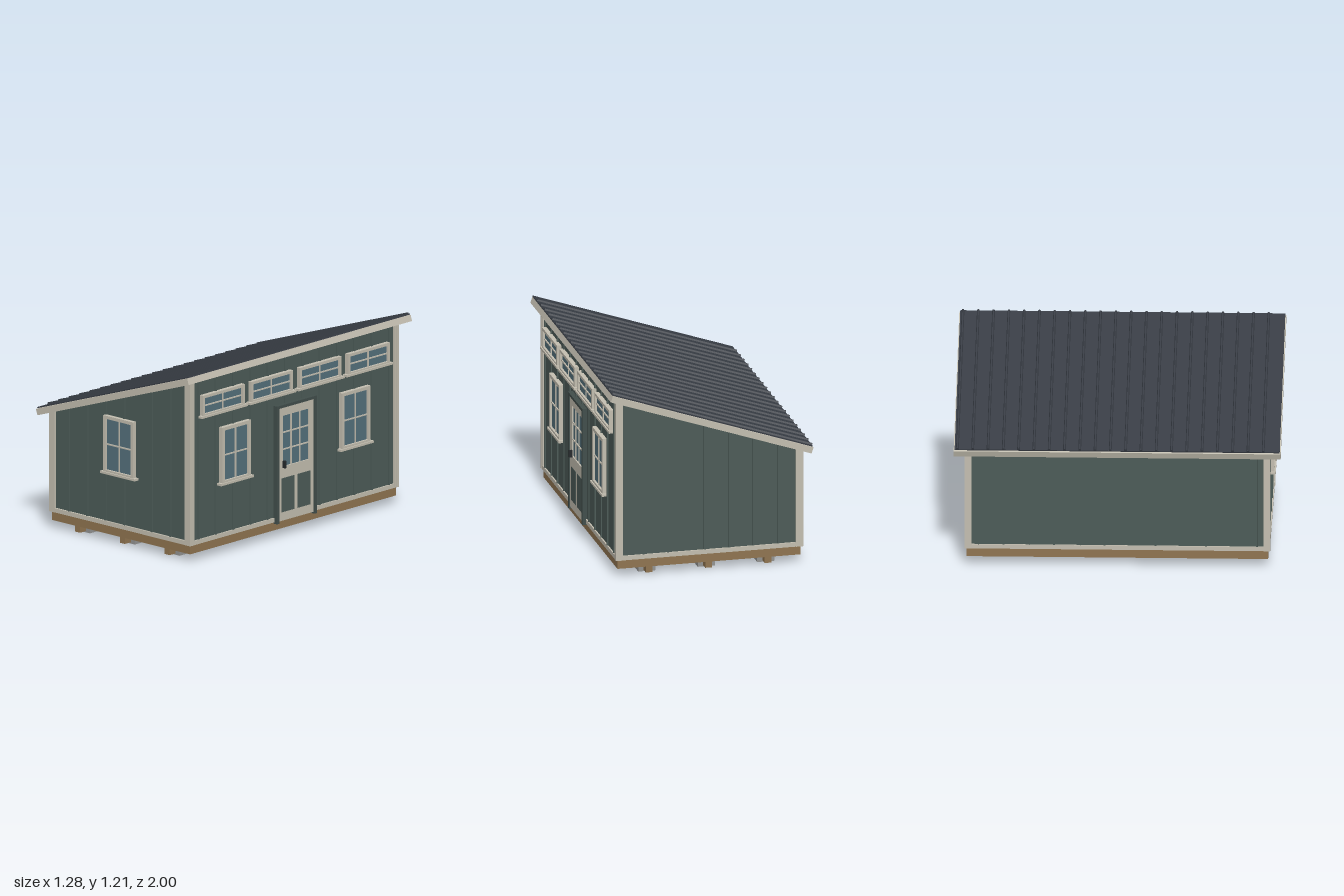
import * as THREE from 'three';

const paint = (name, color) => {
  const m = new THREE.MeshStandardMaterial({ color });
  m.name = name;
  return m;
};

export function createModel() {
  const model = new THREE.Group();
  model.name = 'shed';
  const siding = paint('green siding', 0x4c5b57);
  const doorTrim = paint('dark green trim', 0x414e4b);
  const cream = paint('cream trim', 0xc3beb0);
  const metal = paint('charcoal roof', 0x373c44);
  const wood = paint('timber', 0x8f7450);
  const glass = paint('blue glass', 0x54707c);
  const concrete = paint('concrete', 0x929290);
  const black = paint('black hardware', 0x24282b);

  const SLOPE = 0.341, ANGLE = Math.atan(SLOPE);
  const roofY = x => 0.945 + SLOPE * x;

  // Box given by its limits on each axis
  function box(parent, name, mat, x0, x1, y0, y1, z0, z1) {
    const mesh = new THREE.Mesh(new THREE.BoxGeometry(x1 - x0, y1 - y0, z1 - z0), mat);
    mesh.position.set((x0 + x1) / 2, (y0 + y1) / 2, (z0 + z1) / 2);
    mesh.name = name;
    parent.add(mesh);
    return mesh;
  }

  // Upright prism whose top follows the roof slope
  function prism(name, mat, x0, x1, y0, z0, z1) {
    const shape = new THREE.Shape([
      new THREE.Vector2(x0, y0), new THREE.Vector2(x1, y0),
      new THREE.Vector2(x1, roofY(x1)), new THREE.Vector2(x0, roofY(x0)),
    ]);
    const geo = new THREE.ExtrudeGeometry(shape, { depth: z1 - z0, bevelEnabled: false });
    const mesh = new THREE.Mesh(geo, mat);
    mesh.position.z = z0;
    mesh.name = name;
    model.add(mesh);
  }

  // Foundation: blocks, skids and floor
  for (const x of [-0.375, 0, 0.375]) {
    for (const z of [-0.795, 0, 0.795])
      box(model, 'foundationBlock', concrete, x - 0.055, x + 0.055, 0, 0.033, z - 0.062, z + 0.062);
    box(model, 'skid', wood, x - 0.021, x + 0.021, 0.008, 0.052, -0.91, 0.91);
  }
  box(model, 'floorFrame', wood, -0.578, 0.578, 0.05, 0.106, -0.922, 0.922);

  // Walls and base trim
  prism('walls', siding, -0.58, 0.58, 0.106, -0.92, 0.92);
  box(model, 'baseTrim', cream, -0.589, 0.589, 0.105, 0.132, -0.932, 0.932);

  // Corner boards
  for (const sx of [-1, 1]) for (const sz of [-1, 1]) {
    const span = (s, a, b) => (s > 0 ? [a, b] : [-b, -a]);
    prism('cornerBoardEnd', cream, ...span(sx, 0.545, 0.591), 0.105, ...span(sz, 0.91, 0.935));
    prism('cornerBoardSide', cream, ...span(sx, 0.57, 0.59), 0.105, ...span(sz, 0.893, 0.92));
  }

  // Siding battens
  for (const x of [-0.435, -0.28, -0.127, 0.028, 0.26, 0.414]) {
    prism('batten', siding, x - 0.006, x + 0.006, 0.12, 0.915, 0.928);
    prism('batten', siding, x - 0.006, x + 0.006, 0.12, -0.928, -0.915);
  }
  for (let i = 0; i < 12; i++) {
    const z = (i - 5.5) * 0.155;
    prism('batten', siding, 0.575, 0.588, 0.12, z - 0.006, z + 0.006);
    prism('batten', siding, -0.588, -0.575, 0.12, z - 0.006, z + 0.006);
  }

  // Rectangular frame with an opening
  function frame(parent, name, mat, hw, y0, y1, side, bottom, top, depth) {
    const outer = new THREE.Shape([[-hw, y0], [hw, y0], [hw, y1], [-hw, y1]].map(p => new THREE.Vector2(...p)));
    const w = hw - side, a = y0 + bottom, b = y1 - top;
    outer.holes.push(new THREE.Path([[-w, a], [-w, b], [w, b], [w, a]].map(p => new THREE.Vector2(...p))));
    const mesh = new THREE.Mesh(new THREE.ExtrudeGeometry(outer, { depth, bevelEnabled: false }), mat);
    mesh.name = name;
    parent.add(mesh);
  }

  // Glass with evenly spaced glazing bars
  function glazing(parent, hw, y0, y1, cols, rows, z) {
    box(parent, 'glass', glass, -hw, hw, y0, y1, z - 0.006, z);
    for (let i = 1; i < cols; i++) {
      const x = -hw + (2 * hw * i) / cols;
      box(parent, 'glazingBar', cream, x - 0.004, x + 0.004, y0, y1, z - 0.002, z + 0.007);
    }
    for (let i = 1; i < rows; i++) {
      const y = y0 + ((y1 - y0) * i) / rows;
      box(parent, 'glazingBar', cream, -hw, hw, y - 0.004, y + 0.004, z - 0.002, z + 0.007);
    }
  }

  // Group on the front wall, or on the long door wall at a given z
  function wallGroup(name, onFront, z = 0) {
    const g = new THREE.Group();
    g.name = name;
    if (onFront) g.position.z = 0.92;
    else {
      g.position.set(0.58, 0, z);
      g.rotation.y = Math.PI / 2;
    }
    model.add(g);
    return g;
  }

  function addWindow(g, hw, y0, y1, border) {
    frame(g, 'windowTrim', cream, hw, y0, y1, border, border, border, 0.028);
    glazing(g, hw - border, y0 + border, y1 - border, 2, 2, 0.014);
    box(g, 'sill', cream, -hw - 0.02, hw + 0.02, y0 - 0.006, y0 + 0.008, 0, 0.036);
  }

  addWindow(wallGroup('frontWindow', true), 0.125, 0.443, 0.806, 0.02);
  for (const z of [-0.536, 0.536])
    addWindow(wallGroup('sideWindow', false, z), 0.127, 0.446, 0.806, 0.021);
  for (const z of [-0.65, -0.217, 0.217, 0.65])
    addWindow(wallGroup('clerestoryWindow', false, z), 0.186, 0.908, 1.044, 0.018);

  // Door
  const door = wallGroup('door', false);
  for (const s of [-1, 1])
    box(door, 'doorJamb', doorTrim, s * 0.168 - 0.011, s * 0.168 + 0.011, 0.095, 0.842, 0, 0.031);
  box(door, 'doorHead', doorTrim, -0.179, 0.179, 0.824, 0.842, 0, 0.031);
  frame(door, 'doorLeaf', cream, 0.158, 0.106, 0.825, 0.041, 0.342, 0.055, 0.022);
  glazing(door, 0.117, 0.448, 0.77, 3, 3, 0.013);
  for (const s of [-1, 1])
    box(door, 'doorPanel', siding, s * 0.072 - 0.056, s * 0.072 + 0.056, 0.16, 0.375, 0.018, 0.0235);
  box(door, 'doorHandle', black, -0.119, -0.104, 0.44, 0.485, 0.02, 0.042);

  // Roof: deck with fascia, metal sheet and standing ribs, tilted together
  const roof = new THREE.Group();
  roof.name = 'roof';
  roof.position.y = 0.955;
  roof.rotation.z = ANGLE;
  model.add(roof);
  box(roof, 'roofDeck', cream, -0.669, 0.669, -0.02, 0.02, -1, 1);
  box(roof, 'metalSheet', metal, -0.66, 0.672, 0.022, 0.029, -0.994, 0.994);
  const ribShape = new THREE.Shape([
    new THREE.Vector2(-0.009, 0), new THREE.Vector2(0.009, 0),
    new THREE.Vector2(0.004, 0.011), new THREE.Vector2(-0.004, 0.011),
  ]);
  const ribGeo = new THREE.ExtrudeGeometry(ribShape, { depth: 1.332, bevelEnabled: false });
  ribGeo.rotateY(Math.PI / 2);
  for (let i = 0; i < 21; i++) {
    const rib = new THREE.Mesh(ribGeo, metal);
    rib.position.set(-0.66, 0.028, -0.977 + i * 0.0935);
    rib.name = 'roofRib';
    roof.add(rib);
  }
  return model;
}
